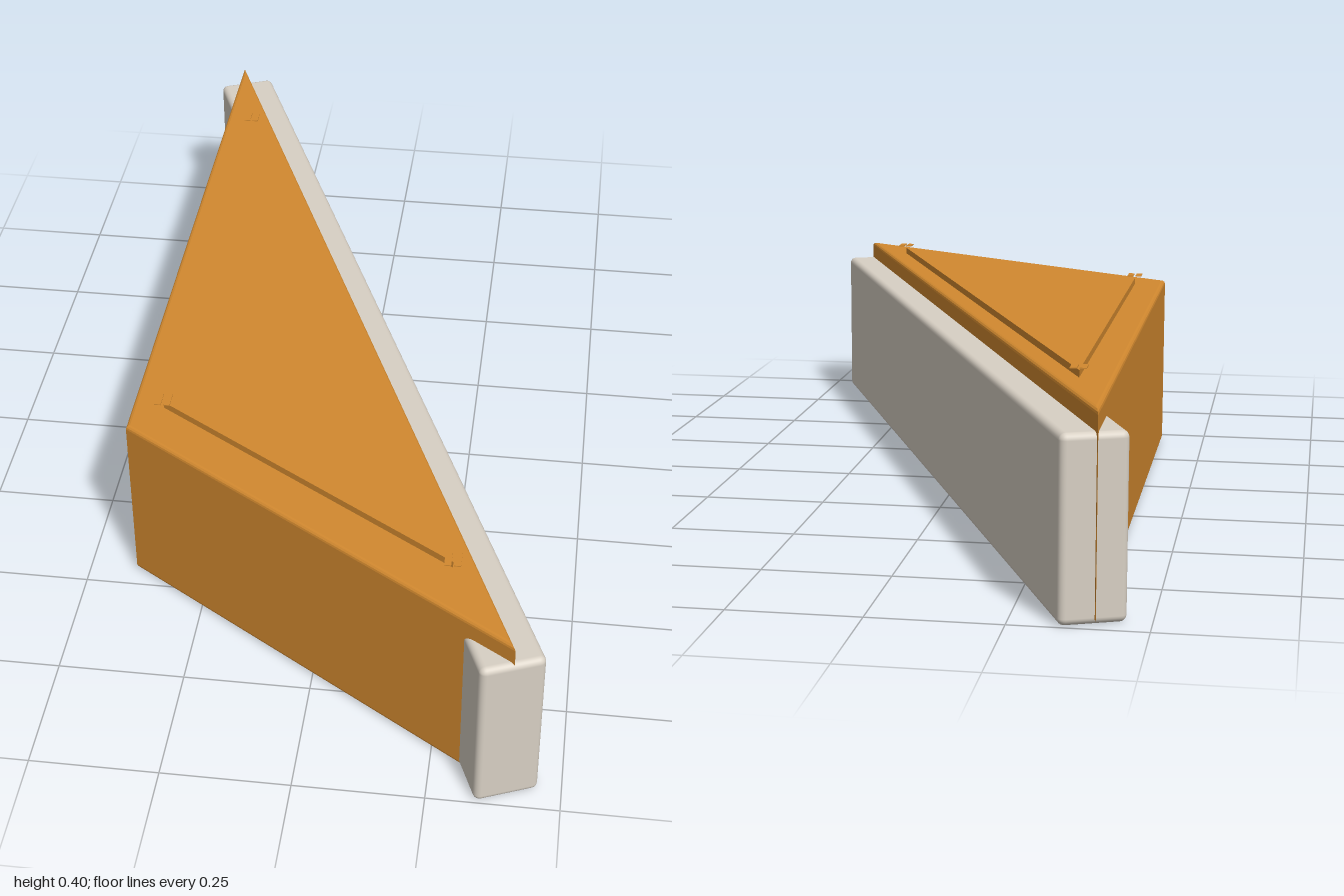
import * as THREE from 'three';
import { RoundedBoxGeometry } from 'three/addons/geometries/RoundedBoxGeometry.js';

// Triangular prism from rings: levels are [y, inset]; corners run counter-clockwise from above.
// Scaling a triangle about its incentre moves every edge inwards equally.
function triPrism(corners, levels) {
  const [a, b, c] = corners.map(([x, z]) => new THREE.Vector2(x, z));
  const la = b.distanceTo(c), lb = c.distanceTo(a), lc = a.distanceTo(b);
  const per = la + lb + lc;
  const centre = new THREE.Vector2()
    .addScaledVector(a, la / per).addScaledVector(b, lb / per).addScaledVector(c, lc / per);
  const area = Math.abs((b.x - a.x) * (c.y - a.y) - (c.x - a.x) * (b.y - a.y)) / 2;
  const inradius = 2 * area / per;
  const rings = levels.map(([y, inset]) => [a, b, c].map((p) => {
    const q = p.clone().sub(centre).multiplyScalar(1 - inset / inradius).add(centre);
    return [q.x, y, q.y];
  }));
  const out = [];
  const face = (...pts) => pts.forEach((p) => out.push(...p));
  for (let k = 0; k < rings.length - 1; k++) {
    const lo = rings[k], up = rings[k + 1];
    for (let i = 0; i < 3; i++) {
      const j = (i + 1) % 3;
      face(lo[i], lo[j], up[j]);
      face(lo[i], up[j], up[i]);
    }
  }
  const bottom = rings[0], top = rings[rings.length - 1];
  face(top[0], top[1], top[2]);
  face(bottom[2], bottom[1], bottom[0]);
  const geo = new THREE.BufferGeometry();
  geo.setAttribute('position', new THREE.Float32BufferAttribute(out, 3));
  geo.computeVertexNormals();
  return geo;
}

export function createModel() {
  const group = new THREE.Group();
  const orange = new THREE.MeshStandardMaterial({ color: 0xd2892f });
  orange.name = 'orange';
  const stone = new THREE.MeshStandardMaterial({ color: 0xd8d0c4 });
  stone.name = 'pale stone';

  const add = (name, geo, mat, x = 0, y = 0, z = 0) => {
    const mesh = new THREE.Mesh(geo, mat);
    mesh.name = name;
    mesh.position.set(x, y, z);
    group.add(mesh);
    return mesh;
  };

  // Long rounded bar set diagonally under the long edge of the wedge
  const bar = add('backBar', new RoundedBoxGeometry(0.125, 0.34, 2.11, 3, 0.013), stone, 0, 0.17, 0);
  bar.rotation.y = 0.389;

  // Triangular body with rounded top and bottom rims
  const r = 0.008, y0 = 0.002, y1 = 0.379, steps = 3;
  const levels = [];
  for (let i = 0; i <= steps; i++) {
    const t = (i / steps) * Math.PI / 2;
    levels.push([y0 + r * (1 - Math.sin(t)), r * (1 - Math.cos(t))]);
  }
  levels.reverse();
  const rim = levels.map(([y, inset]) => [y0 + y1 - y, inset]).reverse();
  add('wedgeBody', triPrism([[-0.404, -0.98], [-0.404, 0.452], [0.4, 0.972]], [...levels, ...rim]), orange);

  // Raised triangular panel on top
  const panel = [[-0.34, -0.71], [-0.34, 0.385], [0.273, 0.78]];
  add('topPanel', triPrism(panel, [[0.37, 0], [0.393, 0]]), orange);

  // Pair of small plates at each panel corner
  const plate = new THREE.BoxGeometry(0.013, 0.002, 0.036);
  panel.forEach(([x, z]) => {
    for (const s of [-1, 1]) add('cornerPlate', plate, orange, x + s * 0.009, 0.4, z);
  });
  return group;
}
